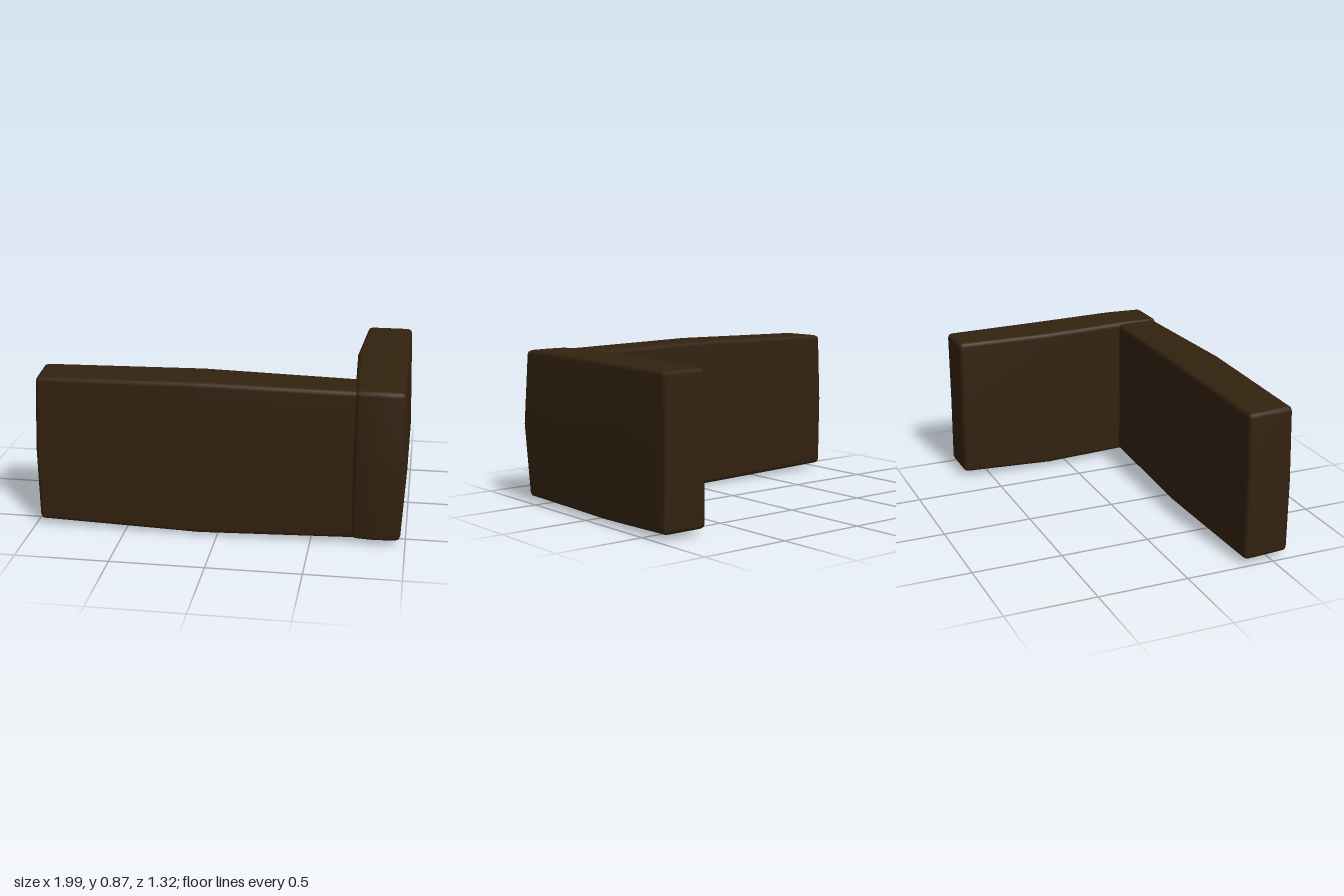
import * as THREE from 'three';
import { mergeVertices } from 'three/addons/utils/BufferGeometryUtils.js';

const BEVEL = 0.024;

// Tent: 1 at the middle position, falling to 0 at both ends
const tent = (v, a, m, b) => Math.max(0, v < m ? (v - a) / (m - a) : (b - v) / (b - m));

// Bevelled block with cut lines at the given inner positions, then bent by warp(p)
function slab(name, material, min, max, cuts, warp) {
  const grid = [0, 1, 2].map(i => [min[i], min[i] + BEVEL, ...cuts[i], max[i] - BEVEL, max[i]]);
  const n = grid.map(g => g.length - 1);
  let geo = new THREE.BoxGeometry(n[0], n[1], n[2], n[0], n[1], n[2]);
  geo.deleteAttribute('uv');
  geo.deleteAttribute('normal');
  geo = mergeVertices(geo);

  const pos = geo.attributes.position;
  const lo = new THREE.Vector3(...min).addScalar(BEVEL);
  const hi = new THREE.Vector3(...max).subScalar(BEVEL);
  const p = new THREE.Vector3(), core = new THREE.Vector3();
  for (let i = 0; i < pos.count; i++) {
    p.fromArray([0, 1, 2].map(k => grid[k][Math.round(pos.getComponent(i, k) + n[k] / 2)]));
    // Round the edges off around the inner core
    core.copy(p).clamp(lo, hi);
    p.sub(core).setLength(BEVEL).add(core);
    warp(p);
    pos.setXYZ(i, p.x, p.y, p.z);
  }
  geo.computeVertexNormals();
  const mesh = new THREE.Mesh(geo, material);
  mesh.name = name;
  return mesh;
}

export function createModel() {
  const group = new THREE.Group();
  group.name = 'cornerBeam';
  const wood = new THREE.MeshStandardMaterial({ color: 0x33220f });

  // Long arm across the front, swelling at its middle
  group.add(slab('longArm', wood, [-0.99, 0.03, 0.335], [0.78, 0.842, 0.6],
    [[-0.1], [0.44], [0.47]], p => {
      const { x, y, z } = p;
      const hx = tent(x, -0.99, -0.1, 0.78);
      const hy = tent(y, 0.03, 0.44, 0.842);
      const hz = tent(z, 0.335, 0.47, 0.6);
      p.y += y > 0.44 ? 0.014 * hx : y < 0.43 ? -0.02 * hx - 0.01 * hx * hz : 0;
      p.z += z > 0.47 ? 0.03 * hx * (0.5 + 0.5 * hy) : 0.025 * tent(x, -0.1, 0.78, 0.8);
      // Slanted, slightly bulging outer end
      if (x < -0.9) p.x += 0.02 * (z - 0.335) / 0.265 + 0.012 * (y - 0.44) - 0.012 * hy;
    }));

  // Short arm running back on the left
  group.add(slab('shortArm', wood, [0.715, 0.03, -0.655], [0.972, 0.84, 0.61],
    [[0.84], [0.44], [-0.12, 0.38]], p => {
      const { x, y, z } = p;
      const hx = tent(x, 0.715, 0.84, 0.972);
      const hy = tent(y, 0.03, 0.44, 0.84);
      const hz = tent(z, -0.655, -0.12, 0.61);
      // Side faces
      if (x < 0.8) p.x -= 0.03 * hz;
      else if (x > 0.9) p.x += (z < -0.5 ? -0.008 : 0.022) * hy;
      // Top rises toward the corner, bottom sags
      if (y > 0.5) p.y += 0.012 * tent(z, -0.655, 0.38, 1.2) + 0.013 * tent(z, -0.12, 0.38, 0.61) * hx;
      else if (y < 0.4) p.y -= 0.012 * hz + (z > 0.5 ? 0.006 * hx : 0);
      // Pointed swelling on the front end
      if (z > 0.5) p.z += 0.045 * hx * hy + 0.012 * hy;
    }));

  return group;
}
